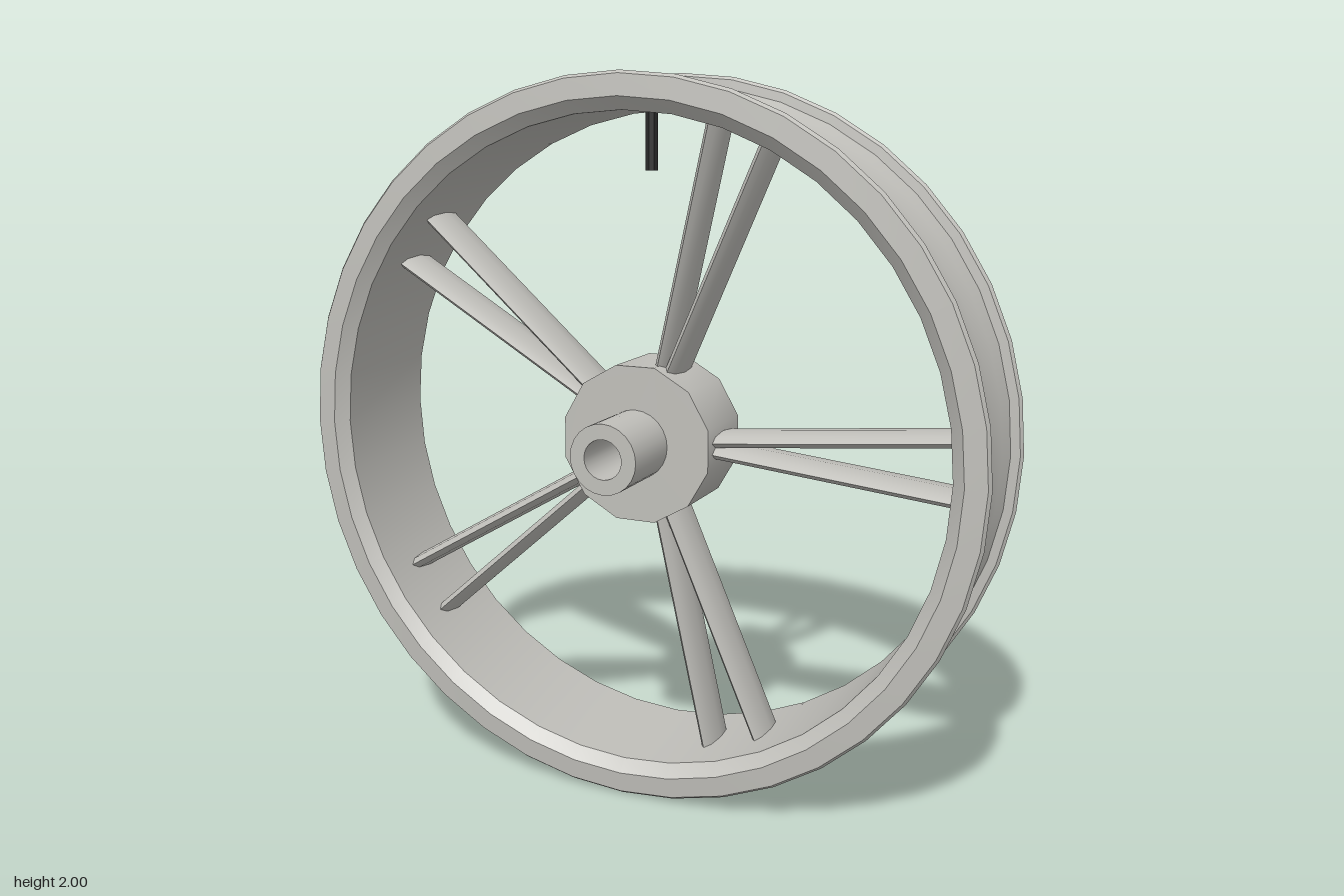
import * as THREE from 'three';
import { toCreasedNormals } from 'three/addons/utils/BufferGeometryUtils.js';

const metal = new THREE.MeshStandardMaterial({ color: 0xc0bfba });
metal.name = 'light grey metal';
const rubber = new THREE.MeshStandardMaterial({ color: 0x2a2a2a });
rubber.name = 'black rubber';

function addMesh(parent, name, geometry, material, crease = 0.6) {
  const mesh = new THREE.Mesh(toCreasedNormals(geometry, crease), material);
  mesh.name = name;
  parent.add(mesh);
  return mesh;
}

// Turns a closed [radius, z] profile around the wheel's z axis
function turned(profile, segments) {
  const points = [...profile, profile[0]].map(([r, z]) => new THREE.Vector2(r, z));
  return new THREE.LatheGeometry(points, segments).rotateX(Math.PI / 2);
}

export function createModel() {
  const model = new THREE.Group();
  model.name = 'wheel';
  const wheel = new THREE.Group();
  wheel.name = 'wheelBody';
  wheel.position.y = 1;
  model.add(wheel);

  // Rim: waisted channel, rounded flanges, bevelled inner lip
  const half = [
    [0.93, 0.05], [0.937, 0.1], [0.952, 0.15], [0.967, 0.187],
    [0.992, 0.19], [1.0, 0.198], [0.992, 0.209], [0.935, 0.214], [0.9, 0.185],
  ];
  const mirrored = half.map(([r, z]) => [r, -z]).reverse();
  addMesh(wheel, 'rim', turned([...mirrored, ...half], 40), metal);

  // Hub: twelve-sided drum with a bore
  const drum = new THREE.Shape();
  for (let i = 0; i < 12; i++) {
    const a = ((i + 0.5) * Math.PI) / 6;
    const x = 0.225 * Math.cos(a), y = 0.225 * Math.sin(a);
    if (i === 0) drum.moveTo(x, y);
    else drum.lineTo(x, y);
  }
  drum.closePath();
  const bore = new THREE.Path();
  bore.absarc(0, 0, 0.085, 0, Math.PI * 2, true);
  drum.holes.push(bore);
  const hub = new THREE.ExtrudeGeometry(drum, { depth: 0.22, bevelEnabled: false, curveSegments: 12 });
  addMesh(wheel, 'hub', hub.translate(0, 0, -0.11), metal);

  // Hollow axle
  const axle = [[0.097, -0.31], [0.097, 0.31], [0.055, 0.31], [0.055, -0.31]];
  addMesh(wheel, 'axle', turned(axle, 24), metal);

  // Five pairs of flat oval spokes, spreading towards the rim
  for (let i = 0; i < 5; i++) {
    const pair = new THREE.Group();
    pair.name = 'spokePair' + (i + 1);
    pair.rotation.z = (i * Math.PI * 2) / 5;
    wheel.add(pair);
    for (const side of [1, -1]) {
      const from = new THREE.Vector2(0.19, 0.013 * side);
      const to = new THREE.Vector2(0.908, 0.082 * side);
      const span = to.clone().sub(from);
      const geometry = new THREE.CylinderGeometry(1, 1, span.length(), 8);
      geometry.scale(0.022, 1, 0.08).rotateZ(-Math.PI / 2);
      const spoke = addMesh(pair, 'spoke', geometry, metal, 0.7);
      spoke.rotation.z = span.angle();
      spoke.position.set((from.x + to.x) / 2, (from.y + to.y) / 2, 0);
    }
  }

  // Valve stem hanging inside the rim
  const valve = addMesh(wheel, 'valveStem', new THREE.CylinderGeometry(0.018, 0.018, 0.17, 8), rubber);
  valve.position.y = 0.825;

  return model;
}
